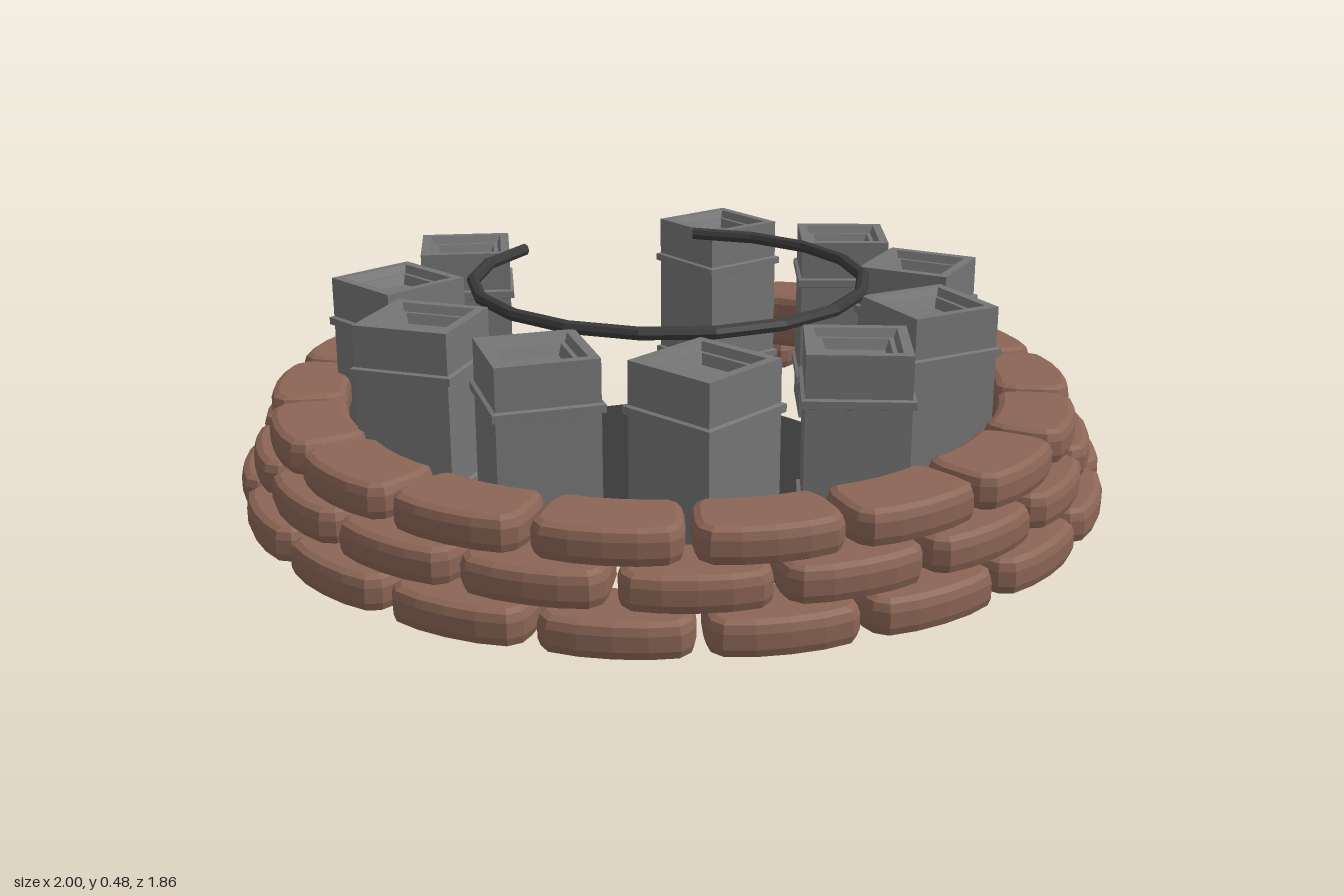
import * as THREE from 'three';

const CENTRE_Z = -0.06;
const rad = THREE.MathUtils.degToRad;
const paint = (color) => new THREE.MeshStandardMaterial({ color, flatShading: true });

// One sandbag: a curved, corner-cut plan outline extruded with soft bevels.
function sandbagGeometry(inner, outer, halfAngle) {
  const half = [
    [0, outer], [0.42, outer - 0.002], [0.8, outer - 0.01], [0.96, outer - 0.035],
    [1, outer - 0.07], [1, inner + 0.045], [0.93, inner + 0.015], [0.8, inner], [0.4, inner + 0.003],
  ];
  const left = half.slice(1).reverse().map(([a, r]) => [-a, r]);
  const outline = [...half, [0, inner + 0.004], ...left];
  const points = outline.map(([a, r]) =>
    new THREE.Vector2(r * Math.sin(a * halfAngle), -r * Math.cos(a * halfAngle)));
  const geometry = new THREE.ExtrudeGeometry(new THREE.Shape(points), {
    depth: 0.032, bevelThickness: 0.023, bevelSize: 0.018, bevelOffset: -0.018, bevelSegments: 2,
  });
  return geometry.translate(0, 0, 0.023).rotateX(-Math.PI / 2);
}

// Square crate with two raised bands and stepped recesses at both ends.
function crateGeometry() {
  const end = [[0, 0.04], [0.062, 0.04], [0.07, 0.018], [0.08, 0.018], [0.087, 0], [0.108, 0]];
  const band = (y) => [[0.108, y], [0.116, y + 0.003], [0.116, y + 0.02], [0.108, y + 0.023]];
  const height = 0.465;
  const top = end.map(([r, y]) => [r, height - y]).reverse();
  const profile = [...end, ...band(0.092), ...band(0.35), ...top]
    .map(([r, y]) => new THREE.Vector2(r * Math.SQRT2, y));
  return new THREE.LatheGeometry(profile, 4, Math.PI / 4);
}

export function createModel() {
  const model = new THREE.Group();
  const bagMaterial = paint(0x8b6555);
  const crateMaterial = paint(0x757575);
  const darkMaterial = paint(0x3a3a3a);

  // Sandbag wall: three staggered courses, open at the back
  const wall = new THREE.Group();
  wall.name = 'sandbagWall';
  wall.position.z = CENTRE_Z;
  const courses = [
    { name: 'bottomSandbag', count: 16, step: 19.1, outer: 1.0 },
    { name: 'middleSandbag', count: 15, step: 19.5, outer: 0.965 },
    { name: 'topSandbag', count: 14, step: 20.2, outer: 0.93 },
  ];
  courses.forEach(({ name, count, step, outer }, level) => {
    const geometry = sandbagGeometry(outer - 0.18, outer, rad(step / 2 - 0.4));
    for (let i = 0; i < count; i++) {
      const bag = new THREE.Mesh(geometry, bagMaterial);
      bag.name = name;
      bag.position.y = level * 0.078;
      bag.rotation.y = rad((i - (count - 1) / 2) * step);
      wall.add(bag);
    }
  });
  model.add(wall);

  // Crates: five per side, mirrored [x, z, turn in degrees]
  const crates = new THREE.Group();
  crates.name = 'crates';
  const geometry = crateGeometry();
  const places = [
    [0.345, -0.585, 16], [0.58, -0.325, -23], [0.61, 0.01, 40], [0.455, 0.325, 5], [0.17, 0.525, -25],
  ];
  for (const [x, z, turn] of places) {
    for (const side of [1, -1]) {
      const crate = new THREE.Mesh(geometry, crateMaterial);
      crate.name = side > 0 ? 'leftCrate' : 'rightCrate';
      crate.position.set(side * x, 0, z);
      crate.rotation.y = side * rad(turn);
      crates.add(crate);
    }
  }
  model.add(crates);

  // Round floor plate
  const floor = new THREE.Mesh(new THREE.CylinderGeometry(0.44, 0.44, 0.008, 64), darkMaterial);
  floor.name = 'floorPlate';
  floor.position.set(0, 0.005, -0.08);
  model.add(floor);

  // Open rail, with capped ends either side of the rear gap
  const rail = new THREE.Group();
  rail.name = 'rail';
  rail.position.set(0, 0.465, -0.08);
  const sweep = rad(300), tube = 0.015, radius = 0.452;
  const arc = new THREE.TorusGeometry(radius, tube, 8, 15, sweep);
  arc.rotateX(Math.PI / 2).rotateY(rad(60));
  const arcMesh = new THREE.Mesh(arc, darkMaterial);
  arcMesh.name = 'railArc';
  rail.add(arcMesh);
  for (const side of [1, -1]) {
    const cap = new THREE.Mesh(new THREE.CircleGeometry(tube, 8), darkMaterial);
    cap.name = 'railEnd';
    cap.position.set(side * radius * Math.sin(rad(30)), 0, -radius * Math.cos(rad(30)));
    cap.rotation.y = -side * rad(90 + 30);
    // Face each cap along the arc, toward the gap
    cap.lookAt(cap.position.clone().add(new THREE.Vector3(-side * Math.cos(rad(30)), 0, -Math.sin(rad(30)))));
    rail.add(cap);
  }
  model.add(rail);

  return model;
}
